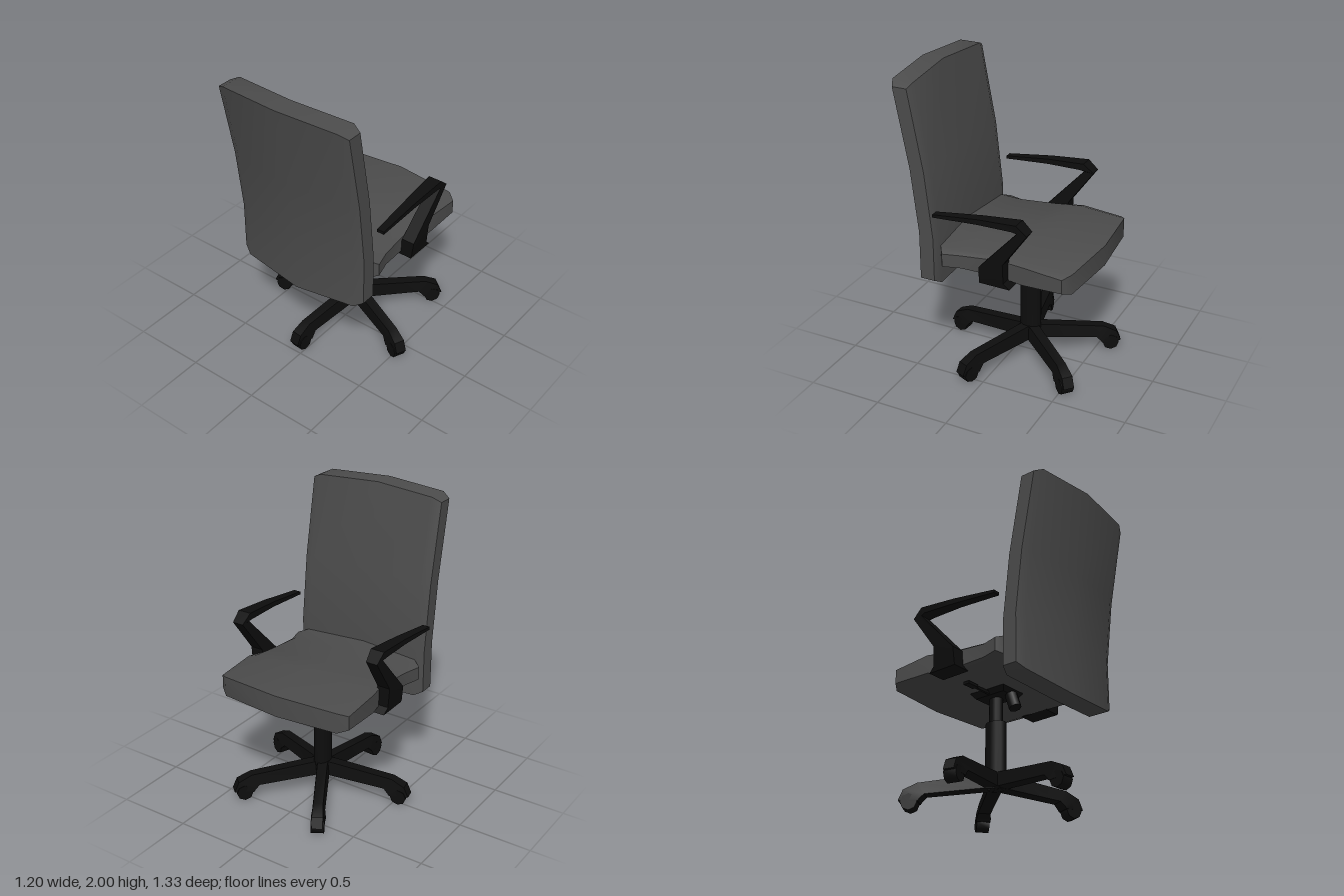
import * as THREE from 'three';
import { toCreasedNormals } from 'three/addons/utils/BufferGeometryUtils.js';

const fabric = new THREE.MeshStandardMaterial({ color: 0x4c4c4c });
fabric.name = 'grey fabric';
const plastic = new THREE.MeshStandardMaterial({ color: 0x0d0d0d });
plastic.name = 'black plastic';

// Skin a row of equal-length rings of [x, y, z] points and close both ends.
// Ring point i faces point n-1-i, which lets bent rings be capped with strips.
function loft(rings, crease) {
  const n = rings[0].length, idx = [];
  for (let r = 0; r < rings.length - 1; r++) {
    for (let i = 0; i < n; i++) {
      const a = r * n + i, b = r * n + (i + 1) % n;
      idx.push(a, b, b + n, a, b + n, a + n);
    }
  }
  const last = (rings.length - 1) * n;
  for (let i = 0; i < n / 2 - 1; i++) {
    const j = n - 1 - i;
    idx.push(i, j, j - 1, i, j - 1, i + 1);
    idx.push(last + i, last + j - 1, last + j, last + i, last + i + 1, last + j - 1);
  }
  // Turn the faces outwards if the rings ran the other way
  const pts = rings.flat().map(p => new THREE.Vector3(...p));
  let volume = 0;
  for (let k = 0; k < idx.length; k += 3) {
    volume += pts[idx[k]].dot(pts[idx[k + 1]].clone().cross(pts[idx[k + 2]]));
  }
  if (volume < 0) idx.reverse();
  const g = new THREE.BufferGeometry().setFromPoints(pts);
  g.setIndex(idx);
  return toCreasedNormals(g, crease);
}

function add(parent, name, geometry, material) {
  const m = new THREE.Mesh(geometry, material);
  m.name = name;
  parent.add(m);
  return m;
}

function makeBackrest() {
  // x, back z shift, front z shift, top drop, bottom rise
  const half = [[0, 0, 0, 0, 0], [0.43, -0.04, -0.04, 0.015, 0.035], [0.49, -0.07, -0.02, 0.045, 0.07]];
  const profile = [[0.52, 0.6], [0.52, 1.0], [0.57, 1.43], [0.67, 2.0],
    [0.52, 2.0], [0.42, 1.42], [0.37, 0.97], [0.37, 0.6]];
  const ring = ([x, bz, fz, top, bottom], s) => profile.map(([z, y], i) => [
    s * x,
    y + (y === 2 ? -top : y === 0.6 ? bottom : 0),
    z + (i < 4 ? bz : fz),
  ]);
  return loft([ring(half[2], -1), ring(half[1], -1), ring(half[0], 1), ring(half[1], 1), ring(half[2], 1)], 0.9);
}

function makeSeat() {
  // x, end inset front, end inset rear, top drop, bottom rise, waist
  const half = [[0, 0, 0, 0, 0, 0], [0.43, 0.04, 0.04, 0.008, 0, 0.01], [0.49, 0.085, 0.08, 0.03, 0.02, 0.04]];
  const profile = [[0.37, 0.77], [0.17, 0.77], [-0.1, 0.77], [-0.27, 0.775], [-0.63, 0.78],
    [-0.63, 0.925], [-0.27, 0.95], [-0.1, 0.935], [0.17, 0.91], [0.37, 0.91]];
  const ring = ([x, front, rear, top, bottom, waist], s) => profile.map(([z, y], i) => [
    s * (x - (z === -0.1 ? waist : z === 0.17 ? waist * 0.8 : 0)),
    y + (i < 5 ? bottom : -top),
    z + (z === -0.63 ? front : z === 0.37 ? -rear : 0),
  ]);
  return loft([ring(half[2], -1), ring(half[1], -1), ring(half[0], 1), ring(half[1], 1), ring(half[2], 1)], 0.9);
}

function makeArm(side) {
  // outer z, y, inner z, y, near x, far x
  const stations = [
    [0.32, 1.175, 0.32, 1.155, 0.49, 0.54],
    [0, 1.215, 0, 1.18, 0.48, 0.55],
    [-0.27, 1.235, -0.245, 1.188, 0.465, 0.56],
    [-0.34, 1.175, -0.272, 1.178, 0.475, 0.555],
    [-0.17, 0.935, -0.005, 0.885, 0.455, 0.545],
    [-0.17, 0.8, 0, 0.785, 0.44, 0.535],
    [-0.21, 0.762, 0, 0.765, 0.4, 0.53],
  ];
  return loft(stations.map(([oz, oy, iz, iy, x0, x1]) => [
    [side * x0, oy, oz], [side * x1, oy, oz], [side * x1, iy, iz], [side * x0, iy, iz],
  ]), 0.6);
}

function makeLeg() {
  // radius and height of top edge, then of bottom edge, half width
  const stations = [
    [0, 0.22, 0, 0.115, 0.05],
    [0.08, 0.215, 0.06, 0.12, 0.045],
    [0.5, 0.178, 0.45, 0.1, 0.042],
    [0.59, 0.135, 0.48, 0.07, 0.048],
    [0.62, 0.065, 0.49, 0.055, 0.048],
  ];
  return loft(stations.map(([tr, ty, br, by, w]) => [
    [tr, ty, -w * 0.75], [tr, ty, w * 0.75], [br, by, w], [br, by, -w],
  ]), 0.6);
}

export function createModel() {
  const chair = new THREE.Group();
  chair.name = 'officeChair';
  add(chair, 'backrest', makeBackrest(), fabric);
  add(chair, 'seat', makeSeat(), fabric);
  add(chair, 'leftArm', makeArm(1), plastic);
  add(chair, 'rightArm', makeArm(-1), plastic);

  // Five-legged base with a wheel under each tip
  const base = new THREE.Group();
  base.name = 'base';
  base.position.set(0.005, 0, -0.11);
  chair.add(base);
  const legGeometry = makeLeg();
  const wheelGeometry = toCreasedNormals(new THREE.CylinderGeometry(0.055, 0.055, 0.085, 8).rotateX(Math.PI / 2), 0.9);
  for (let i = 0; i < 5; i++) {
    const leg = new THREE.Group();
    leg.name = 'leg';
    leg.rotation.y = -THREE.MathUtils.degToRad(23 + 72 * i);
    base.add(leg);
    add(leg, 'spoke', legGeometry, plastic);
    add(leg, 'wheel', wheelGeometry, plastic).position.set(0.55, 0.053, 0);
  }

  // Column in two steps, oval in plan
  const lower = add(base, 'columnSleeve', new THREE.CylinderGeometry(0.075, 0.075, 0.41, 12), plastic);
  lower.position.y = 0.36;
  lower.scale.x = 0.75;
  const upper = add(base, 'columnRod', new THREE.CylinderGeometry(0.048, 0.048, 0.24, 12), plastic);
  upper.position.y = 0.66;
  upper.scale.x = 0.8;

  // Tilt mechanism under the seat
  const plate = (y, w, z0, z1) => [[-w, y, z0], [w, y, z0], [w, y, z1], [-w, y, z1]];
  add(chair, 'tiltMechanism', loft([
    plate(0.735, 0.08, -0.21, 0.02), plate(0.785, 0.11, -0.25, 0.045),
  ], 0.5), plastic);
  const knob = add(chair, 'tensionKnob', new THREE.CylinderGeometry(0.042, 0.042, 0.105, 8), plastic);
  knob.position.set(0, 0.682, 0.037);
  knob.rotation.x = -0.33;

  // Height lever with a flat paddle
  const lever = add(chair, 'leverRod', new THREE.BoxGeometry(0.2, 0.018, 0.018), plastic);
  lever.position.set(-0.16, 0.75, -0.1);
  const paddle = add(chair, 'leverPaddle', new THREE.BoxGeometry(0.09, 0.018, 0.045), plastic);
  paddle.position.set(-0.26, 0.748, -0.1);
  return chair;
}
